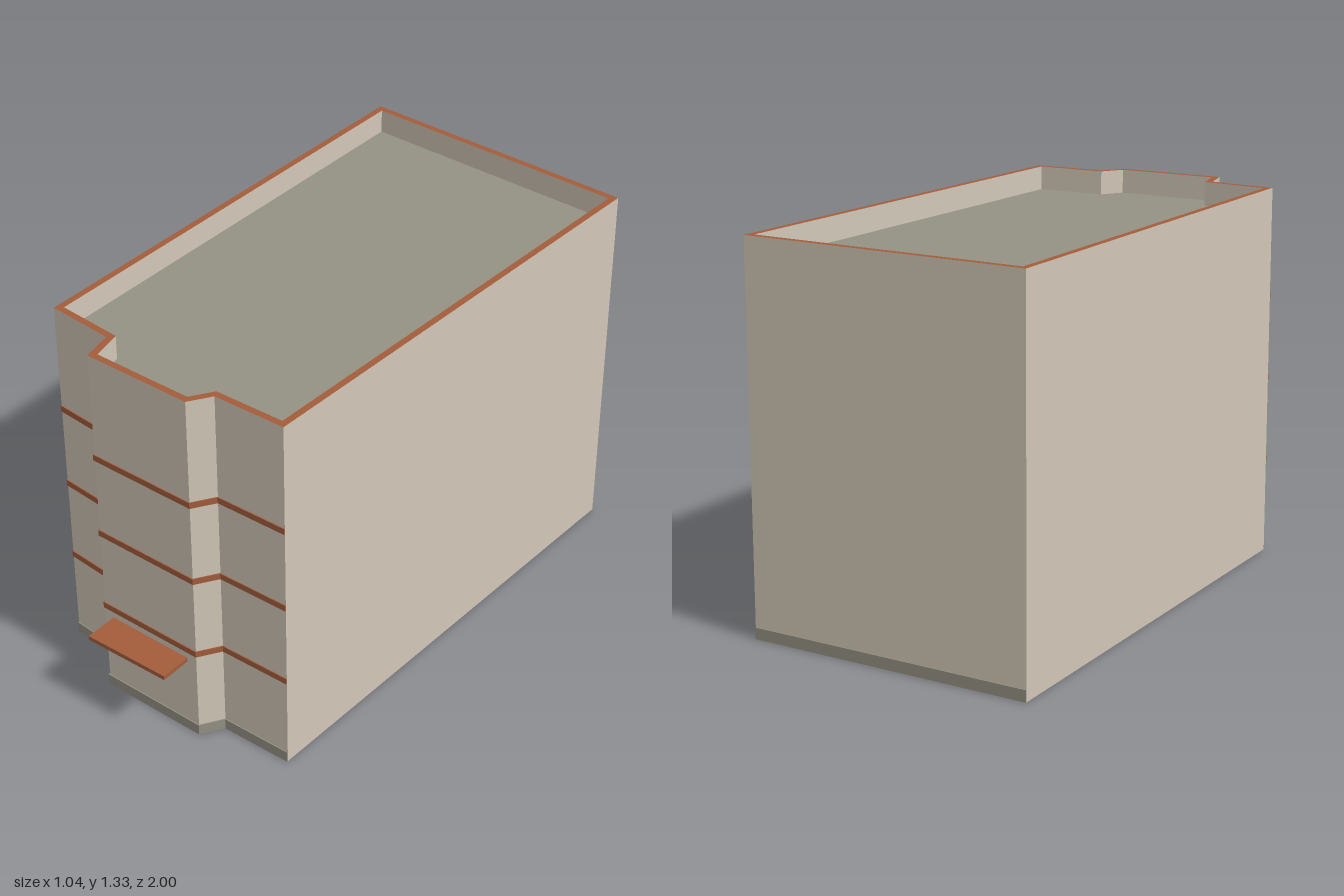
import * as THREE from 'three';

const mat = (name, color, side = THREE.FrontSide) => {
  const m = new THREE.MeshStandardMaterial({ color, side });
  m.name = name;
  return m;
};

// Building footprint as [x, z]: along the front from -x to +x, then the back
const FRONT = [[-0.52, 0.74], [-0.275, 0.765], [-0.25, 0.878], [0.15, 0.886], [0.2, 0.81], [0.463, 0.81]];
const BACK = [[0.52, -0.948], [-0.523, -0.996]];
const OUTLINE = [...FRONT, ...BACK];
const TOP = 1.33, ROOF = 1.245, STOREY = 0.3;

// Offset a path outwards by d with mitred corners
function offset(path, d, closed) {
  const n = path.length;
  const normal = (a, b) => new THREE.Vector2(a[1] - b[1], b[0] - a[0]).normalize();
  return path.map((p, i) => {
    const prev = i > 0 ? path[i - 1] : closed ? path[n - 1] : null;
    const next = i < n - 1 ? path[i + 1] : closed ? path[0] : null;
    const n1 = prev ? normal(prev, p) : normal(p, next);
    const n2 = next ? normal(p, next) : n1;
    const k = d / (1 + n1.dot(n2));
    return [p[0] + (n1.x + n2.x) * k, p[1] + (n1.y + n2.y) * k];
  });
}

const toPoints = (path) => path.map(([x, z]) => new THREE.Vector2(x, -z));

// Vertical wall faces following a closed path
function wallStrip(path, y0, y1) {
  const pos = [];
  path.forEach(([x0, z0], i) => {
    const [x1, z1] = path[(i + 1) % path.length];
    pos.push(x0, y0, z0, x1, y0, z1, x1, y1, z1, x0, y0, z0, x1, y1, z1, x0, y1, z0);
  });
  const g = new THREE.BufferGeometry();
  g.setAttribute('position', new THREE.Float32BufferAttribute(pos, 3));
  g.computeVertexNormals();
  return g;
}

// Thin raised course following an open path
function course(path, y0, y1, depth) {
  const shape = new THREE.Shape(toPoints([...offset(path, depth), ...offset(path, 0.0003).reverse()]));
  return new THREE.ExtrudeGeometry(shape, { depth: y1 - y0, bevelEnabled: false })
    .rotateX(-Math.PI / 2).translate(0, y0, 0);
}

export function createModel() {
  const group = new THREE.Group();
  const plaster = mat('plaster', 0xd2c8b8, THREE.DoubleSide);
  const stone = mat('grey stone', 0x959284, THREE.DoubleSide);
  const brick = mat('brown trim', 0xa35d3c, THREE.DoubleSide);
  const glass = mat('blue glass', 0x40546a);
  const add = (name, geometry, material, parent = group) => {
    const mesh = new THREE.Mesh(geometry, material);
    mesh.name = name;
    parent.add(mesh);
    return mesh;
  };

  // Walls, open underneath, with the inner face of the parapet
  const inner = offset(OUTLINE, -0.024, true);
  add('outerWalls', wallStrip(OUTLINE, 0, TOP), plaster);
  add('parapetInside', wallStrip([...inner].reverse(), ROOF, TOP), plaster);

  // Roof deck and parapet coping
  add('roofDeck', new THREE.ShapeGeometry(new THREE.Shape(toPoints(inner)))
    .rotateX(-Math.PI / 2).translate(0, ROOF, 0), stone);
  const coping = new THREE.Shape(toPoints(OUTLINE));
  coping.holes.push(new THREE.Path(toPoints(inner)));
  add('parapetCoping', new THREE.ShapeGeometry(coping).rotateX(-Math.PI / 2).translate(0, TOP, 0), brick);

  // Plinths on the street and rear sides
  add('frontPlinth', course(FRONT, 0, 0.04, 0.004), stone);
  add('backPlinth', course(BACK, 0, 0.04, 0.004), stone);

  // String courses between storeys
  for (let i = 1; i <= 3; i++) {
    const y = i * STOREY + 0.045;
    add('stringCourse' + i, course(FRONT, y - 0.011, y + 0.011, 0.004), brick);
  }

  // Canopy over the door
  add('canopy', new THREE.BoxGeometry(0.325, 0.016, 0.13), brick).position.set(-0.052, 0.3, 0.935);

  // Recess boxes on the inner side of a facade, with a thin pane on the inner end
  function opening(name, segment, x, y, w, h) {
    const [[x0, z0], [x1, z1]] = [FRONT[segment], FRONT[segment + 1]];
    const unit = new THREE.Group();
    unit.name = name;
    unit.position.set(x, y, z0 + (z1 - z0) * (x - x0) / (x1 - x0));
    unit.rotation.y = Math.atan2(z0 - z1, x1 - x0);
    add('reveal', new THREE.BoxGeometry(w, h, 0.022), plaster, unit).position.z = -0.012;
    add('pane', new THREE.BoxGeometry(w - 0.004, h - 0.004, 0.003), glass, unit).position.z = -0.024;
    group.add(unit);
  }
  for (let i = 0; i < 4; i++) {
    const y = 0.155 + i * STOREY;
    opening('leftWindow' + i, 4, 0.32, y, 0.14, 0.14);
    opening('rightWindow' + i, 0, -0.388, y, 0.145, 0.14);
    if (i > 0) opening('bayWindow' + i, 2, -0.05, y, 0.15, 0.14);
  }
  opening('door', 2, -0.055, 0.14, 0.175, 0.27);

  return group;
}
